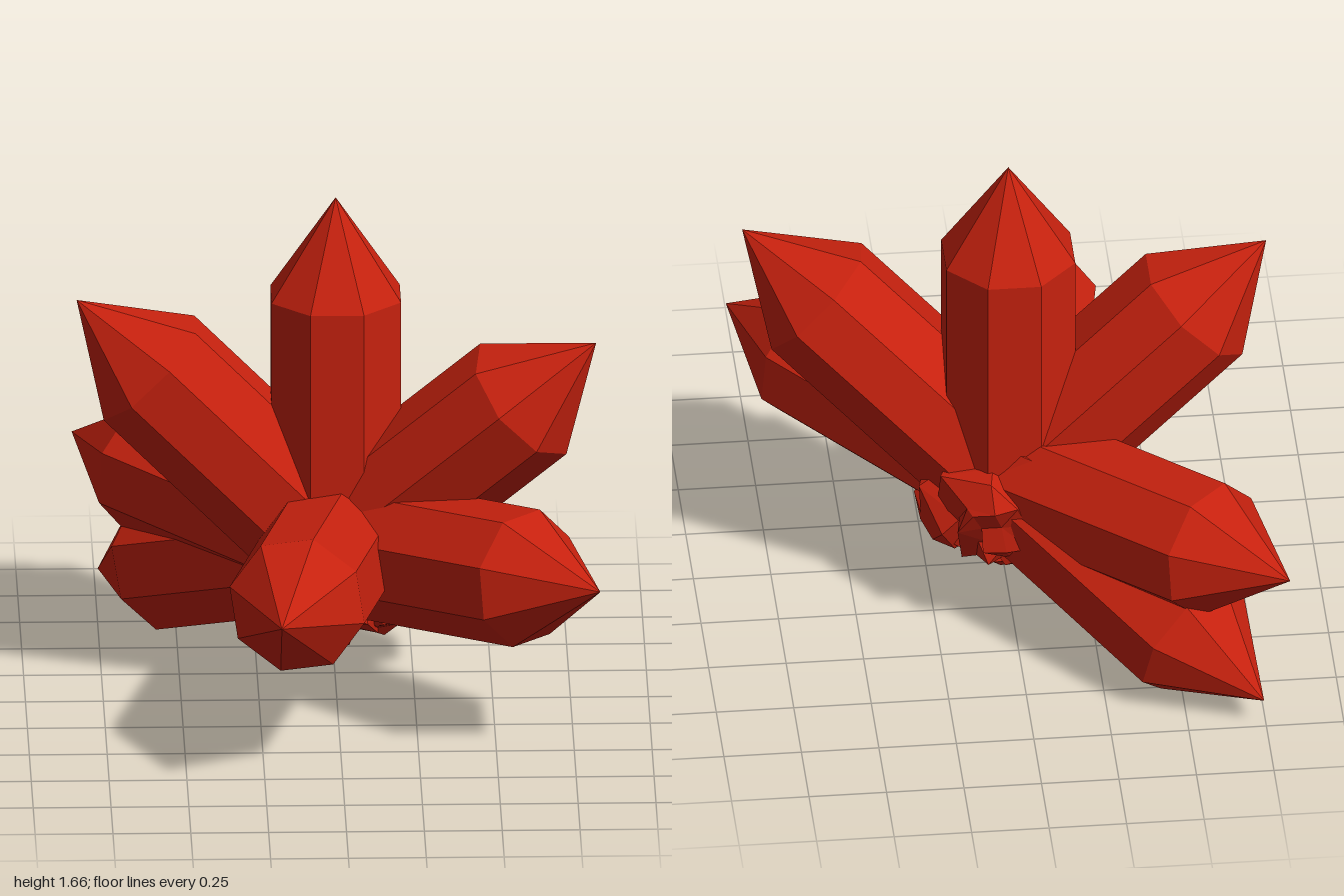
import * as THREE from 'three';

const CENTER = new THREE.Vector3(0, 0.505, -0.16);
const SIDES = 8;

// Small repeatable noise in [-1, 1]
function noise(n) {
  const s = Math.sin(n * 127.1 + 11.7) * 43758.5453;
  return 2 * (s - Math.floor(s)) - 1;
}

// Eight-sided crystal along +y: rough broken root, straight shaft, pointed tip
function crystalGeometry() {
  const profile = [
    [0, -0.29], [0.085, -0.3], [0.145, -0.26], [0.2, -0.2], [0.225, -0.13], [0.225, 0.85], [0, 1.18],
  ].map(([r, y]) => new THREE.Vector2(r, y));
  const geo = new THREE.LatheGeometry(profile, SIDES, Math.PI / 8);

  // Chip the rings of the root in and out
  const pos = geo.attributes.position;
  for (let i = 0; i < pos.count; i++) {
    const ring = i % profile.length;
    const side = Math.floor(i / profile.length) % SIDES;
    if (ring < 1 || ring > 3) continue;
    const id = ring * SIDES + side;
    const k = 1 + 0.2 * noise(id) + ((side + ring) % 2 ? 0.1 : -0.14);
    pos.setXYZ(i, pos.getX(i) * k, pos.getY(i) + 0.03 * noise(id + 50), pos.getZ(i) * k);
  }
  geo.computeVertexNormals();
  return geo;
}

export function createModel() {
  const group = new THREE.Group();
  group.name = 'crystalCluster';
  const material = new THREE.MeshStandardMaterial({ color: 0xc6210e, flatShading: true });
  const geometry = crystalGeometry();

  // Tip position of each crystal; all grow from one centre
  const tips = {
    topCrystal: [0, 1.69, -0.16],
    upperRightCrystal: [-0.83, 1.34, -0.16],
    upperLeftCrystal: [0.83, 1.29, 0.14],
    frontLeftCrystal: [0.83, 0.63, 0.67],
    frontCrystal: [-0.2, 0.63, 0.99],
    backRightCrystal: [-0.83, 0.59, -1.0],
    lowerBackCrystal: [-0.75, 0.12, -1.0],
  };
  const up = new THREE.Vector3(0, 1, 0);
  for (const [name, tip] of Object.entries(tips)) {
    const crystal = new THREE.Mesh(geometry, material);
    crystal.name = name;
    crystal.position.copy(CENTER);
    const direction = new THREE.Vector3(...tip).sub(CENTER).normalize();
    crystal.quaternion.setFromUnitVectors(up, direction);
    group.add(crystal);
  }
  return group;
}
